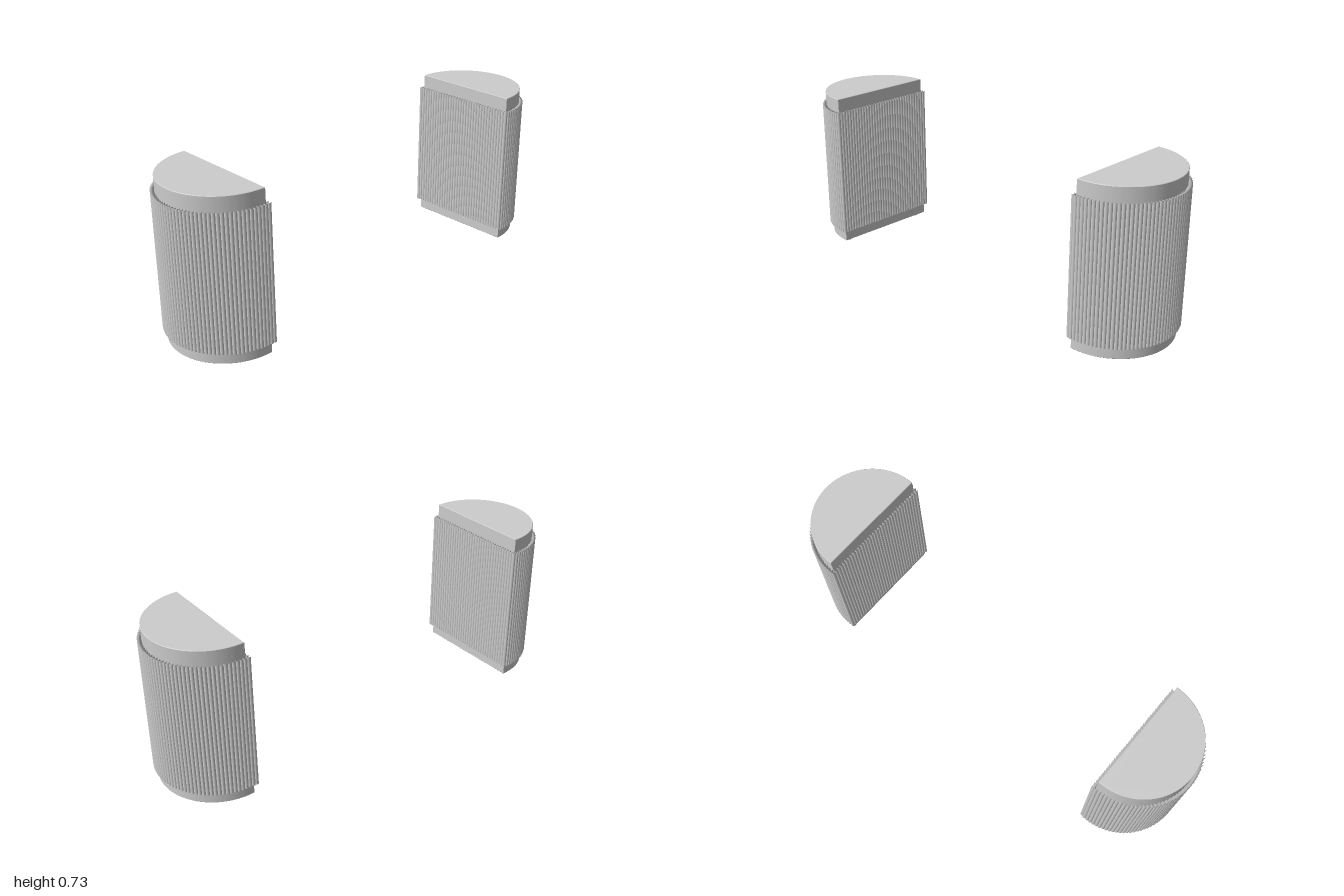
import * as THREE from 'three';
import { mergeGeometries, toCreasedNormals } from 'three/addons/utils/BufferGeometryUtils.js';

const FLAT_X = 0.717;   // flat inner side
const CENTRE_X = 0.73;  // centre of the round side
const RADIUS = 0.253;
const SLAT_R = 0.0085;

// D-shaped outline, grown outward by an offset
function outline(offset) {
  const r = RADIUS + offset;
  const s = new THREE.Shape();
  s.moveTo(FLAT_X - offset, -r);
  s.lineTo(CENTRE_X, -r);
  s.absarc(CENTRE_X, 0, r, -Math.PI / 2, Math.PI / 2, false);
  s.lineTo(FLAT_X - offset, r);
  s.lineTo(FLAT_X - offset, -r);
  return s;
}

export function createModel() {
  const model = new THREE.Group();
  model.name = 'pedestalPair';
  const grey = new THREE.MeshStandardMaterial({ color: 0xcccccc });
  grey.name = 'light grey';

  // Solid body with a fine bevel at the rims
  const bevel = 0.002;
  const bodyGeo = new THREE.ExtrudeGeometry(outline(-bevel), {
    depth: 0.715 - 2 * bevel, curveSegments: 48,
    bevelEnabled: true, bevelSize: bevel, bevelThickness: bevel, bevelSegments: 1,
  });
  bodyGeo.rotateX(-Math.PI / 2).translate(0, 0.012 + bevel, 0);
  const body = toCreasedNormals(bodyGeo, 0.5);

  // Open tubes side by side all the way round
  const path = outline(SLAT_R);
  const count = 88;
  const tubes = [];
  for (let i = 0; i < count; i++) {
    const p = path.getPointAt(i / count);
    tubes.push(new THREE.CylinderGeometry(SLAT_R, SLAT_R, 0.604, 16, 1, true)
      .translate(p.x, 0.365, p.y));
  }
  const slats = mergeGeometries(tubes);

  // Three small tapered feet
  const footGeo = new THREE.CylinderGeometry(0.012, 0.009, 0.013, 20);

  for (const side of [1, -1]) {
    const pedestal = new THREE.Group();
    pedestal.name = side > 0 ? 'leftPedestal' : 'rightPedestal';
    const add = (geo, name) => {
      const mesh = new THREE.Mesh(geo, grey);
      mesh.name = name;
      pedestal.add(mesh);
      return mesh;
    };
    add(body, 'body');
    add(slats, 'slats');
    for (const [x, z] of [[0.745, 0.213], [0.745, -0.213], [0.955, 0]]) {
      add(footGeo, 'foot').position.set(x, 0.0065, z);
    }
    if (side < 0) pedestal.rotation.y = Math.PI;
    model.add(pedestal);
  }
  return model;
}
